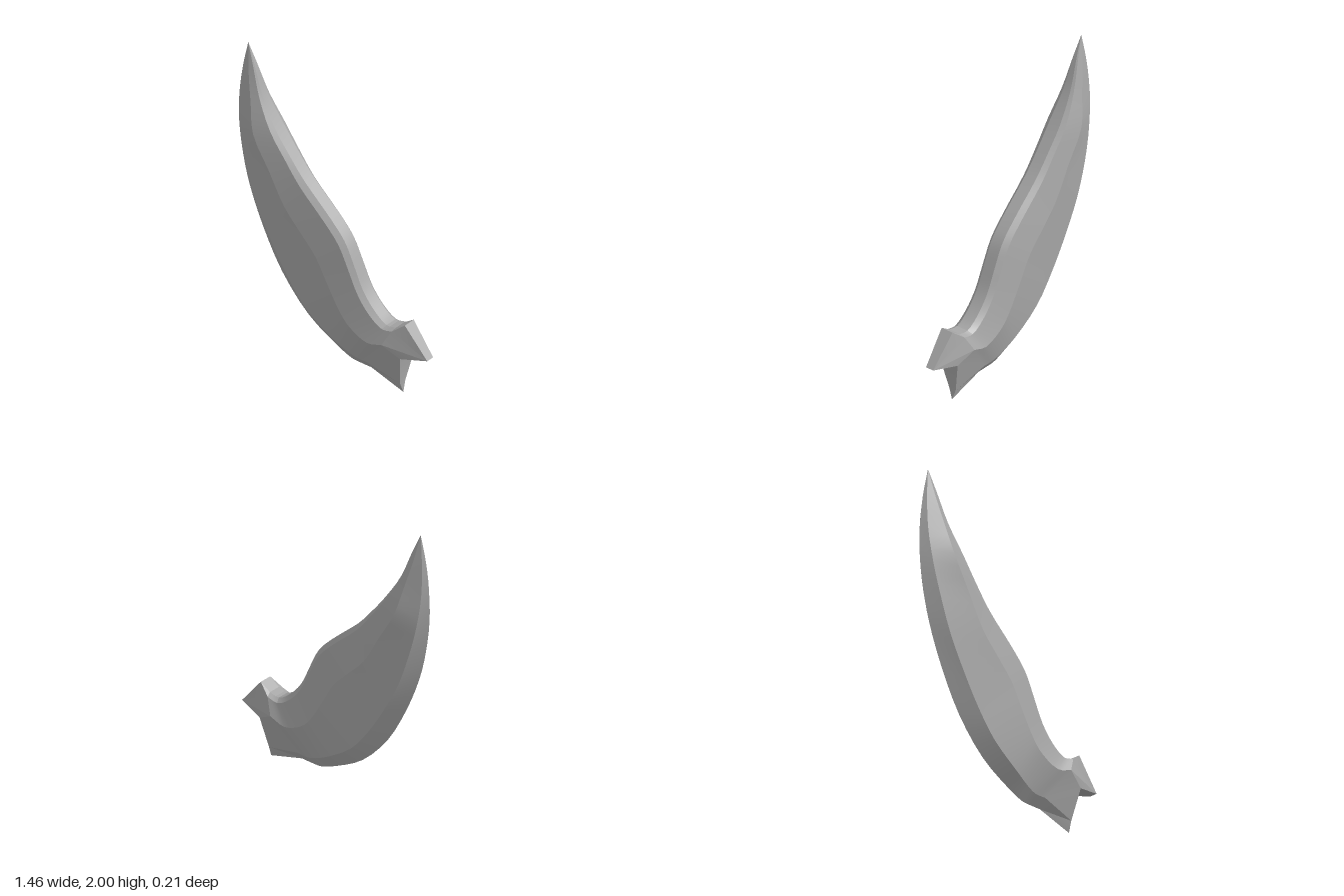
import * as THREE from 'three';
import { toCreasedNormals } from 'three/addons/utils/BufferGeometryUtils.js';

// Rails running from the point to the collar, each knot is [x, y, half thickness]
const cuttingEdge = [[-.66, 2, 0], [-.7, 1.82, 0], [-.727, 1.62, 0], [-.73, 1.43, 0], [-.7, 1.2, 0], [-.65, 1, 0],
  [-.55, .75, 0], [-.4, .48, 0], [-.2, .26, 0], [0, .14, 0], [.13, .085, 0], [.2, .08, 0], [.28, .08, 0], [.525, .005, 0]];
const lowerRidge = [[-.66, 2, 0], [-.685, 1.82, .018], [-.695, 1.6, .036], [-.67, 1.38, .053], [-.62, 1.17, .065], [-.54, .94, .07],
  [-.42, .71, .072], [-.3, .52, .072], [-.17, .36, .072], [.02, .225, .066], [.13, .165, .052], [.2, .14, .045], [.28, .14, .045], [.52, .075, .025]];
const upperRidge = [[-.66, 2, 0], [-.63, 1.82, .034], [-.585, 1.63, .07], [-.54, 1.45, .104], [-.42, 1.24, .104], [-.3, 1.03, .104],
  [-.17, .89, .104], [-.06, .77, .104], [.02, .63, .104], [.13, .45, .104], [.2, .38, .104], [.33, .325, .104], [.44, .355, .104], [.555, .285, .07]];
const backEdge = [[-.66, 2, 0], [-.6, 1.86, .012], [-.53, 1.68, .026], [-.42, 1.5, .04], [-.31, 1.355, .04], [-.2, 1.225, .04],
  [0, 1.04, .04], [.11, .92, .04], [.18, .78, .04], [.25, .63, .04], [.34, .52, .04], [.43, .46, .04], [.5, .47, .04], [.57, .515, .042]];

// The back chamfer lies just inside the back edge, then flares to the collar's corner
const backChamfer = backEdge.map(([x, y, z], i) => {
  const [cx, cy] = upperRidge[i];
  return [x + (cx - x) * .14, y + (cy - y) * .14, z * 1.75];
});
backChamfer[13] = [.73, .32, .028];

// Smooth each rail along the blade, leaving the collar straight
function sampleRail(knots, steps = 3) {
  const body = knots.slice(0, -1).map(k => new THREE.Vector3(...k));
  const points = new THREE.CatmullRomCurve3(body).getPoints((body.length - 1) * steps);
  points.push(new THREE.Vector3(...knots[knots.length - 1]));
  return points;
}

function bladeGeometry() {
  const rails = [cuttingEdge, lowerRidge, upperRidge, backChamfer, backEdge].map(r => sampleRail(r));
  const mirrored = rails.slice(1).reverse().map(r => r.map(p => new THREE.Vector3(p.x, p.y, -p.z)));
  const ring = [...rails, ...mirrored];
  const n = ring.length, last = rails[0].length - 1;
  const positions = [];
  const tri = (...pts) => pts.forEach(p => positions.push(p.x, p.y, p.z));

  // Skin between neighbouring rails
  for (let i = 0; i < last; i++) {
    for (let j = 0; j < n; j++) {
      const p = ring[j], q = ring[(j + 1) % n];
      // the far side splits along the other diagonal, to stay symmetrical
      if (j < rails.length - 1) {
        tri(p[i], p[i + 1], q[i + 1]);
        if (i > 0) tri(p[i], q[i + 1], q[i]);
      } else {
        tri(p[i], p[i + 1], q[i + 1]);
        if (i > 0) {
          positions.length -= 9;
          tri(p[i], p[i + 1], q[i]);
          tri(p[i + 1], q[i + 1], q[i]);
        }
      }
    }
  }
  // Notched end of the collar
  for (let j = 0; j < rails.length - 1; j++) {
    const r0 = ring[j][last], r1 = ring[j + 1][last];
    const l0 = ring[(n - j) % n][last], l1 = ring[n - j - 1][last];
    if (j > 0) tri(r0, l0, l1);
    tri(r0, l1, r1);
  }
  const geometry = new THREE.BufferGeometry();
  geometry.setAttribute('position', new THREE.Float32BufferAttribute(positions, 3));
  return toCreasedNormals(geometry, THREE.MathUtils.degToRad(14));
}

export function createModel() {
  const group = new THREE.Group();
  group.name = 'curvedBlade';
  const grey = new THREE.MeshStandardMaterial({ color: 0xa8a8a8 });
  grey.name = 'grey';
  const blade = new THREE.Mesh(bladeGeometry(), grey);
  blade.name = 'blade';
  group.add(blade);
  return group;
}
